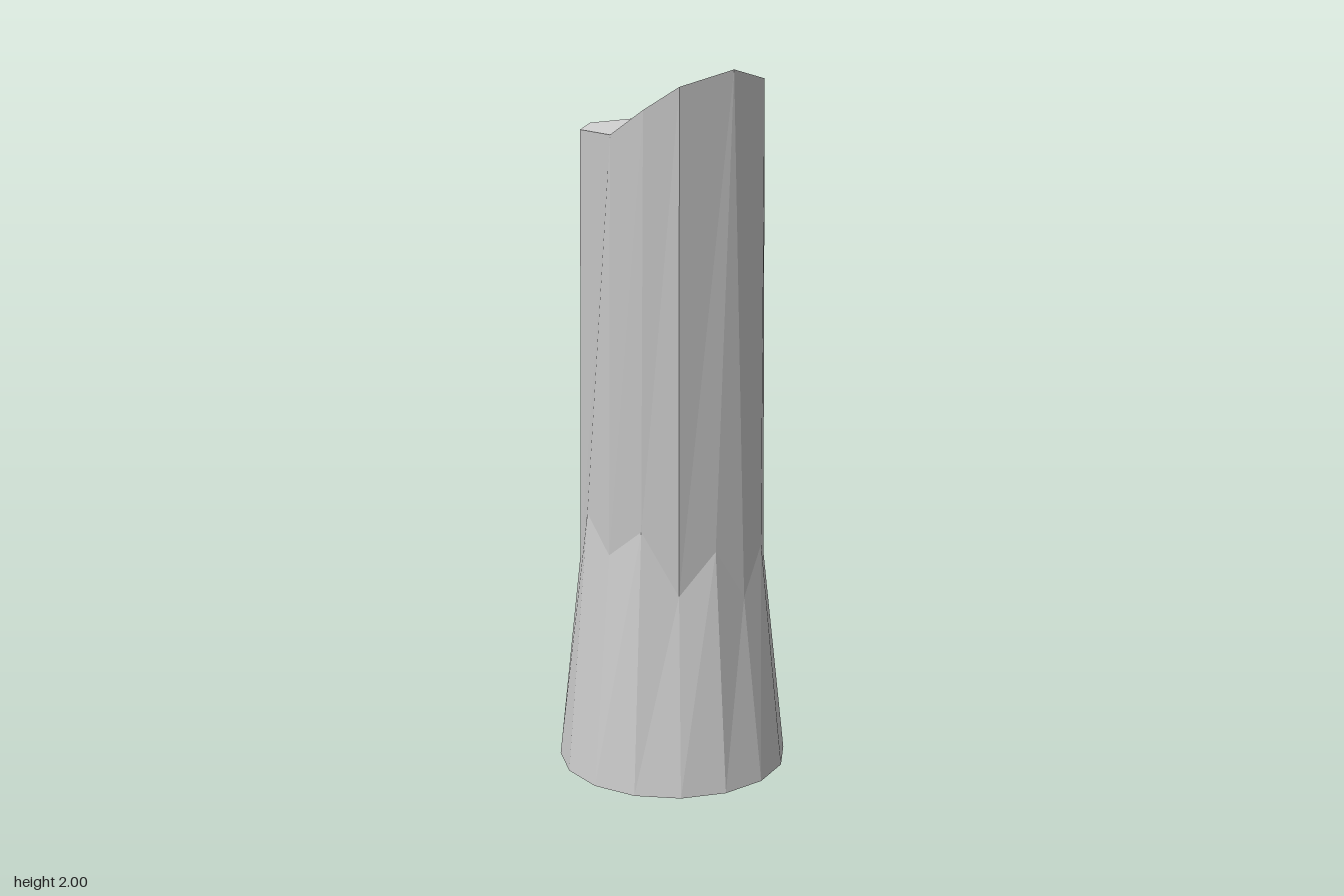
import * as THREE from 'three';

const SIDES = 16;

// Irregular cut rim [x, y, z], running from +x towards +z
const RIM = [
  [0.13, 1.915, 0.13], [0.01, 1.985, 0.31], [-0.155, 2, 0.34], [-0.29, 1.955, 0.275],
  [-0.33, 1.9, 0.19], [-0.345, 1.84, 0.09], [-0.285, 1.855, -0.075], [-0.18, 1.875, -0.14],
  [-0.01, 1.865, -0.13], [0.1, 1.85, -0.055],
];
// Rim corner that each of the sixteen trunk columns runs up to
const RIM_OF_COLUMN = [0, 0, 1, 1, 2, 2, 3, 4, 5, 5, 6, 7, 7, 8, 9, 9];
// Height of the waist, where the flared foot meets the leaning shaft
const WAIST_Y = [0.58, 0.58, 0.65, 0.7, 0.57, 0.72, 0.6, 0.78, 0.7, 0.8, 0.65, 0.6, 0.5, 0.5, 0.55, 0.58];

function ring(radius, cx, cz, height) {
  return Array.from({ length: SIDES }, (_, i) => {
    const a = (i / SIDES) * Math.PI * 2;
    return [cx + radius * Math.cos(a), height(i), cz + radius * Math.sin(a)];
  });
}

function facetedMesh(name, triangles) {
  const geometry = new THREE.BufferGeometry();
  geometry.setAttribute('position', new THREE.Float32BufferAttribute(triangles.flat(2), 3));
  geometry.computeVertexNormals();
  const material = new THREE.MeshStandardMaterial({ color: 0xcccccc, flatShading: true });
  const mesh = new THREE.Mesh(geometry, material);
  mesh.name = name;
  return mesh;
}

// Triangles between two rings, leaving out those that collapse to a line
function band(lower, upper) {
  const triangles = [];
  for (let i = 0; i < SIDES; i++) {
    const j = (i + 1) % SIDES;
    triangles.push([lower[i], upper[i], lower[j]]);
    if (upper[i] !== upper[j]) triangles.push([lower[j], upper[i], upper[j]]);
  }
  return triangles;
}

export function createModel() {
  const group = new THREE.Group();
  group.name = 'leaningStump';

  const base = ring(0.275, 0.01, -0.01, () => 0.008);
  const foot = ring(0.335, 0.008, -0.006, () => 0.035);
  const waist = ring(0.267, 0, 0, (i) => WAIST_Y[i]);
  const rim = RIM_OF_COLUMN.map((k) => RIM[k]);

  // Flared foot with a bevelled lower edge, then the leaning shaft
  group.add(facetedMesh('flaredFoot', [...band(base, foot), ...band(foot, waist)]));
  group.add(facetedMesh('shaft', band(waist, rim)));

  // Slanted cut, fanned from one corner so it folds slightly
  const cut = [];
  for (let i = 1; i < RIM.length - 1; i++) cut.push([RIM[0], RIM[i + 1], RIM[i]]);
  group.add(facetedMesh('slantedCut', cut));

  // Slightly domed underside
  const centre = [0.01, 0, -0.01];
  group.add(facetedMesh('underside', base.map((p, i) => [centre, p, base[(i + 1) % SIDES]])));

  return group;
}
